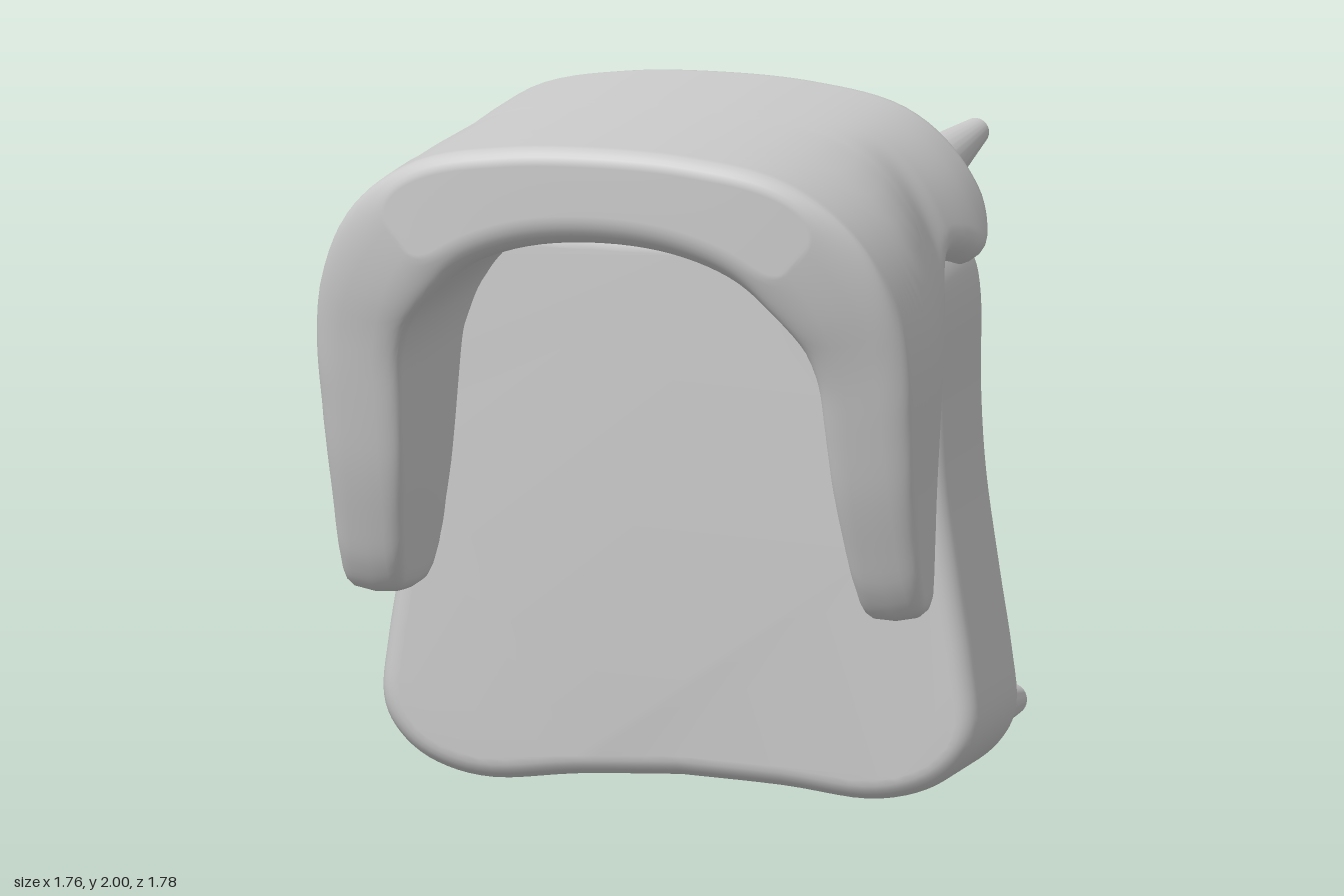
import * as THREE from 'three';
import { mergeVertices, toCreasedNormals } from 'three/addons/utils/BufferGeometryUtils.js';

const material = new THREE.MeshStandardMaterial({ color: 0xcccccc });
const V2 = (p) => new THREE.Vector2(p[0], p[1]);
const { lerp, clamp, smoothstep } = THREE.MathUtils;

function part(name, geometry) {
  const mesh = new THREE.Mesh(geometry, material);
  mesh.name = name;
  return mesh;
}

// Smooth interpolation through [key, value] pairs
function interp(table, k) {
  const last = table.length - 1;
  let i = 0;
  while (i < last - 1 && k > table[i + 1][0]) i++;
  const slope = (j) => {
    const a = table[Math.max(j - 1, 0)], b = table[Math.min(j + 1, last)];
    return (b[1] - a[1]) / (b[0] - a[0]);
  };
  const [k0, v0] = table[i], [k1, v1] = table[i + 1];
  const w = k1 - k0, t = clamp((k - k0) / w, 0, 1);
  const t2 = t * t, t3 = t2 * t;
  return (2 * t3 - 3 * t2 + 1) * v0 + (t3 - 2 * t2 + t) * w * slope(i)
    + (3 * t2 - 2 * t3) * v1 + (t3 - t2) * w * slope(i + 1);
}

// Seat cushion: flared outline with rounded rims
function seatGeometry() {
  const half = [[0.3, 0.03], [0.55, 0.005], [0.72, 0.04], [0.83, 0.12], [0.88, 0.23],
    [0.865, 0.4], [0.83, 0.62], [0.79, 0.9], [0.775, 1.15], [0.775, 1.4], [0.745, 1.53],
    [0.66, 1.59], [0.4, 1.61]];
  const mirrored = half.map(([x, y]) => [-x, y]).reverse();
  const outline = new THREE.SplineCurve([[0, 0.045], ...half, [0, 1.61], ...mirrored, [0, 0.045]].map(V2));
  const points = outline.getPoints(140);
  points.pop();
  const bevel = 0.06;
  const geometry = new THREE.ExtrudeGeometry(new THREE.Shape(points), {
    depth: 0.46 - 2 * bevel, bevelEnabled: true, bevelThickness: bevel,
    bevelSize: bevel, bevelOffset: -bevel, bevelSegments: 6,
  });
  geometry.translate(0, 0, -0.38 + bevel);
  return toCreasedNormals(geometry, 0.6);
}

// Backrest with wings: arch-shaped sections stacked along z
const Z0 = -0.386, Z1 = 0.89, RIM = 0.05, INNER_RIM = 0.09;
const lowerEdge = [[-0.386, 1.58], [-0.3, 1.51], [-0.22, 1.49], [-0.1, 1.515], [0, 1.52], [0.05, 1.47],
  [0.1, 1.36], [0.16, 1.18], [0.19, 0.98], [0.22, 0.75], [0.255, 0.65], [0.31, 0.61], [0.46, 0.61],
  [0.53, 0.63], [0.59, 0.71], [0.63, 0.8], [0.705, 1.0], [0.76, 1.2], [0.81, 1.4], [0.85, 1.54], [0.89, 1.7]];
const halfWidth = [[-0.386, 0.84], [-0.2, 0.85], [0, 0.83], [0.1, 0.81], [0.2, 0.825],
  [0.35, 0.86], [0.5, 0.88], [0.7, 0.88], [0.89, 0.87]];

// How far a rounded rim pulls in at distance d from the end face
const roundOff = (d, r) => r * (1 - Math.sqrt(Math.max(0, 1 - (1 - Math.min(d / r, 1)) ** 2)));

function backrestGeometry() {
  // Centre line of the arch; the third value is half the thickness
  const half = [[0.26, 1.84, 0.148], [0.48, 1.775, 0.168], [0.62, 1.665, 0.172], [0.71, 1.52, 0.153],
    [0.745, 1.37, 0.135], [0.749, 1.2, 0.125], [0.75, 1.0, 0.115], [0.757, 0.8, 0.102], [0.77, 0.58, 0.085]];
  const mirrored = half.map(([x, y, h]) => [-x, y, h]).reverse();
  const arch = new THREE.CatmullRomCurve3(
    [...mirrored, [0, 1.86, 0.14], ...half].map((p) => new THREE.Vector3(...p)));
  arch.arcLengthDivisions = 600;
  const armLength = arch.getLength() / 2;

  const zs = [];
  const rimSteps = 6, bodySteps = 90, N = 30;
  for (let i = 0; i < rimSteps; i++) zs.push(Z0 + RIM * (1 - Math.cos(i / rimSteps * Math.PI / 2)));
  for (let i = 0; i <= bodySteps; i++) zs.push(lerp(Z0 + RIM, Z1 - RIM, i / bodySteps));
  for (let i = 1; i <= rimSteps; i++) zs.push(Z1 - RIM + RIM * Math.sin(i / rimSteps * Math.PI / 2));

  const positions = [], index = [];
  const row = 2 * N + 1, loop = 2 * row;
  for (const z of zs) {
    // Where the arm of this section ends
    const low = interp(lowerEdge, z);
    let end = 0, below = 1;
    for (let i = 0; i < 18; i++) {
      const m = (end + below) / 2;
      if (arch.getPointAt(0.5 + m / 2).y > low) end = m; else below = m;
    }
    const slope = (interp(lowerEdge, z + 0.01) - interp(lowerEdge, z - 0.01)) / 0.02;
    const tip = Math.min(0.06 * Math.hypot(1, slope), 0.26);
    const edge = Math.min(z - Z0, Z1 - z);
    const narrow = 0.88 - interp(halfWidth, z);
    const fill = 1 - smoothstep(z, 0.045, 0.08);
    const bow = 0.075 * smoothstep(z, 0.3, 0.9);
    const outer = [], inner = [];
    for (let i = -N; i <= N; i++) {
      const s = Math.sign(i) * end * (1 - (1 - Math.abs(i) / N) ** 1.6);
      const u = 0.5 + s / 2;
      const p = arch.getPointAt(u), t = arch.getTangentAt(u);
      const l = Math.hypot(t.x, t.y);
      const d = Math.min((end - Math.abs(s)) * armLength / tip, 1);
      const taper = Math.cbrt(Math.max(0, 1 - (1 - d) ** 3));
      const add = (list, sign, rim) => {
        const h = sign * (p.z - roundOff(edge, rim)) * taper;
        let x = p.x - t.y / l * h, y = p.y + t.x / l * h;
        x -= Math.sign(x) * narrow * smoothstep(Math.abs(x), 0.5, 0.88);
        // The rear underside closes down onto the seat
        if (sign < 0 && y > 1.57) y = lerp(y, 1.57, fill);
        list.push([x, y, z - bow * Math.min(1, Math.abs(x) / 0.88) ** 3]);
      };
      add(outer, 1, RIM);
      add(inner, -1, z > 0 ? INNER_RIM : RIM);
    }
    positions.push(...outer.flat(), ...inner.reverse().flat());
  }
  for (let k = 0; k < zs.length - 1; k++) {
    for (let j = 0; j < loop; j++) {
      const n = (j + 1) % loop;
      const p = k * loop + j, q = k * loop + n;
      index.push(p, p + loop, q, q, p + loop, q + loop);
    }
  }
  // Flat rear and front faces
  const front = (zs.length - 1) * loop;
  for (let i = 0; i < row - 1; i++) {
    const o = i, o2 = i + 1, n = loop - 1 - i, n2 = loop - 2 - i;
    index.push(front + o, front + n, front + o2, front + o2, front + n, front + n2);
    index.push(o, o2, n, o2, n2, n);
  }
  let geometry = new THREE.BufferGeometry();
  geometry.setAttribute('position', new THREE.Float32BufferAttribute(positions, 3));
  geometry.setIndex(index);
  geometry = mergeVertices(geometry, 1e-5);
  geometry.computeVertexNormals();
  return geometry;
}

// Tapered leg whose end faces stay square to z
function legGeometry(base, tip, baseRadius, tipRadius) {
  const zBase = -0.33, zTip = -0.89;
  const geometry = new THREE.CylinderGeometry(tipRadius, baseRadius, zBase - zTip, 28);
  geometry.rotateX(-Math.PI / 2);
  geometry.translate(0, 0, (zBase + zTip) / 2);
  const p = geometry.attributes.position;
  for (let i = 0; i < p.count; i++) {
    const t = (zBase - p.getZ(i)) / (zBase - zTip);
    p.setX(i, p.getX(i) + lerp(base[0], tip[0], t));
    p.setY(i, p.getY(i) + lerp(base[1], tip[1], t));
  }
  return toCreasedNormals(geometry, 0.7);
}

export function createModel() {
  const model = new THREE.Group();
  model.name = 'armchair';
  model.add(part('seat', seatGeometry()), part('backrest', backrestGeometry()));
  for (const side of [1, -1]) {
    const name = side > 0 ? 'left' : 'right';
    model.add(part(name + 'RearLeg', legGeometry([side * 0.53, 1.675], [side * 0.59, 1.758], 0.118, 0.039)));
    model.add(part(name + 'FrontLeg', legGeometry([side * 0.655, 0.17], [side * 0.695, 0.13], 0.122, 0.046)));
  }
  return model;
}
